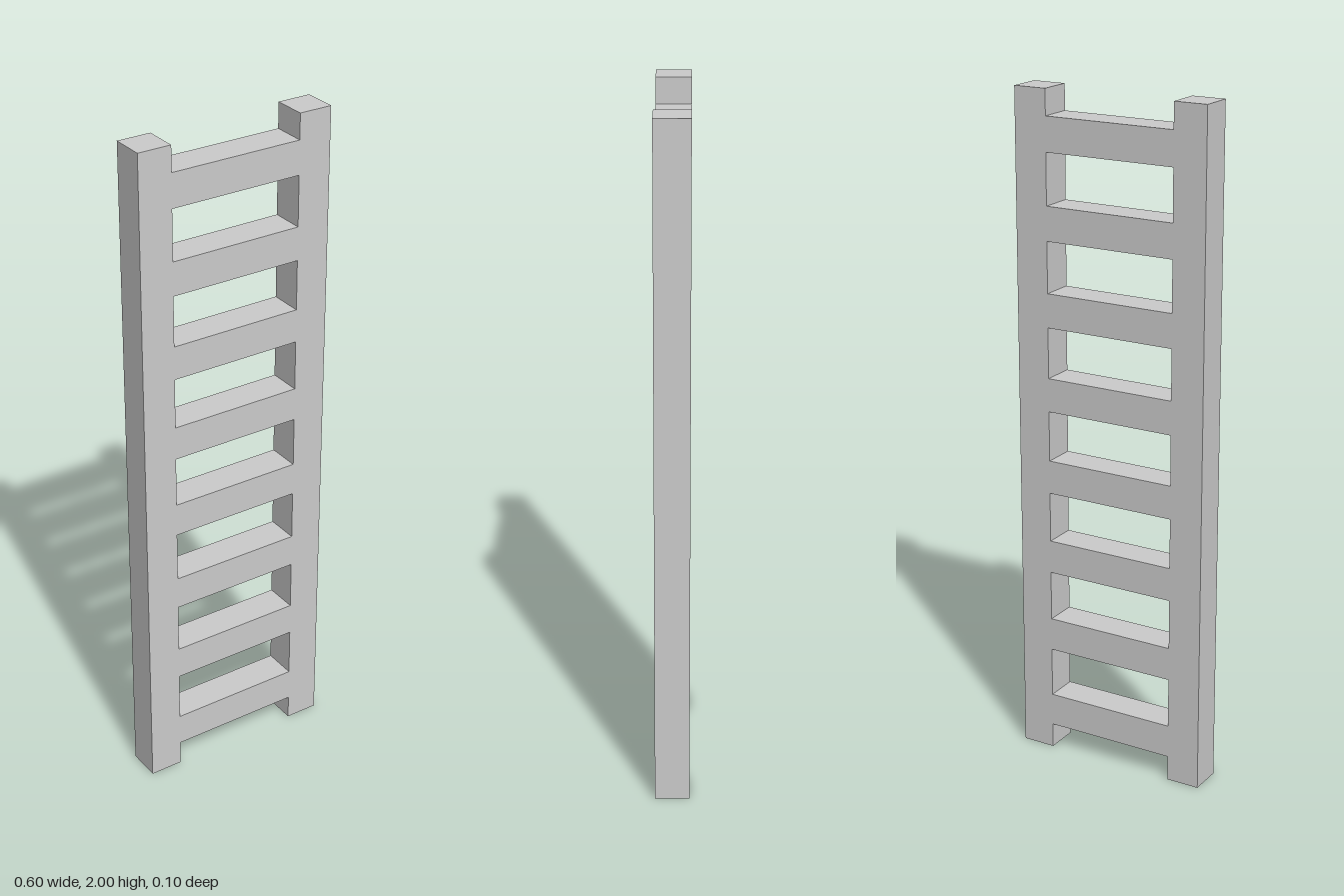
import * as THREE from 'three';

const HEIGHT = 2, BAR = 0.1, INNER = 0.4, RUNGS = 8;

export function createModel() {
  const ladder = new THREE.Group();
  ladder.name = 'ladder';
  const material = new THREE.MeshStandardMaterial({ color: 0xcccccc, flatShading: true });

  const add = (name, geometry, x, y) => {
    const mesh = new THREE.Mesh(geometry, material);
    mesh.name = name;
    mesh.position.set(x, y, 0);
    ladder.add(mesh);
  };

  // Square side rails, mirrored about x = 0
  const rail = new THREE.BoxGeometry(BAR, HEIGHT, BAR);
  const railX = (INNER + BAR) / 2;
  add('leftRail', rail, railX, HEIGHT / 2);
  add('rightRail', rail, -railX, HEIGHT / 2);

  // Evenly spaced rungs, flush with the rails front and back
  const rung = new THREE.BoxGeometry(INNER, BAR, BAR);
  const spacing = HEIGHT / RUNGS;
  for (let i = 0; i < RUNGS; i++) {
    add(`rung${i + 1}`, rung, 0, (i + 0.5) * spacing);
  }

  return ladder;
}
